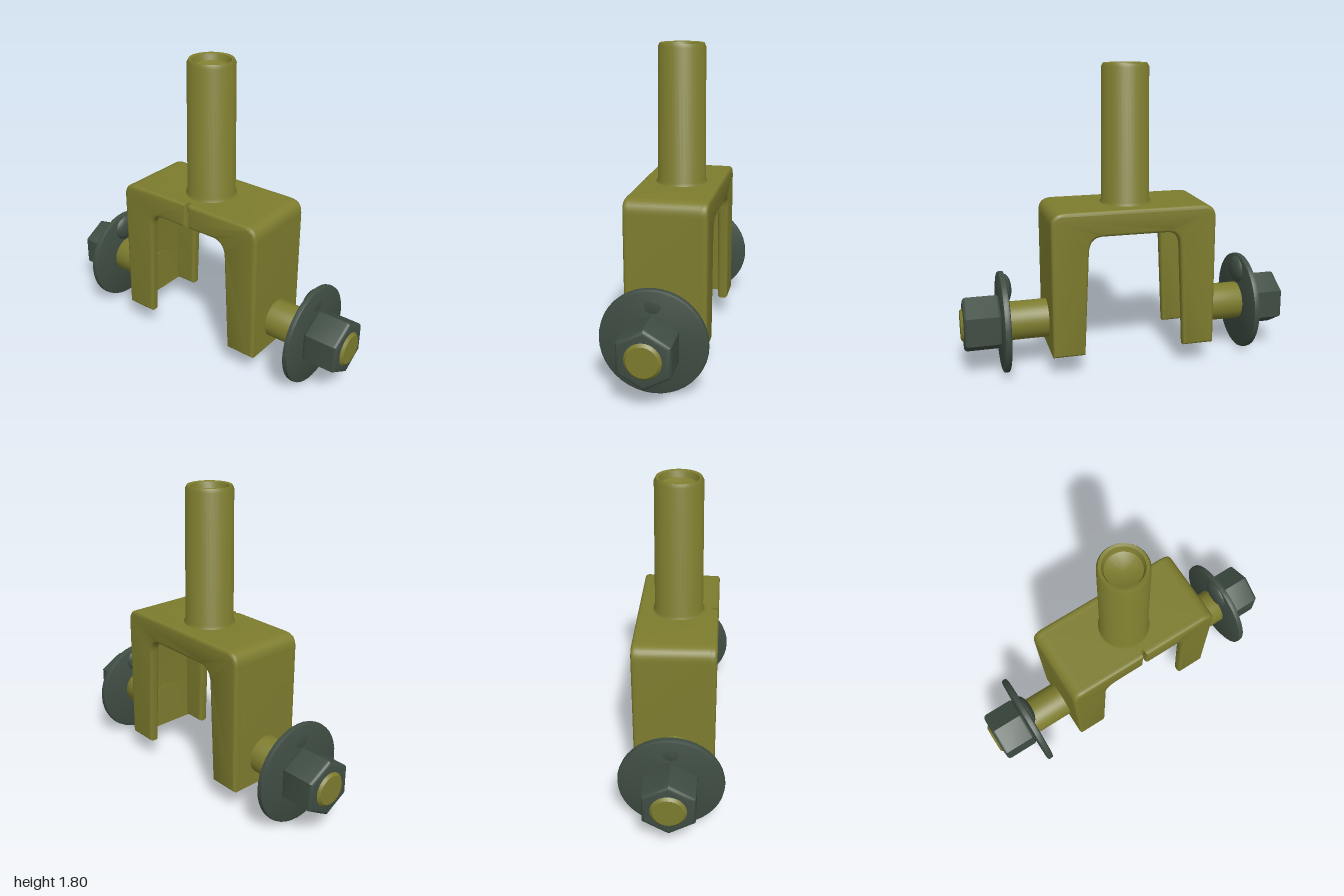
import * as THREE from 'three';
import { toCreasedNormals } from 'three/addons/utils/BufferGeometryUtils.js';

const olive = new THREE.MeshStandardMaterial({ color: 0x7d7c2e });
olive.name = 'olive paint';
const steel = new THREE.MeshStandardMaterial({ color: 0x3f4d43 });
steel.name = 'dark steel';

const part = (name, geometry, material) => {
  const mesh = new THREE.Mesh(geometry, material);
  mesh.name = name;
  return mesh;
};

// Extrusion between two z values with rounded edges kept inside the outline
function roundedPlate(shape, z0, z1, bevel) {
  const geo = new THREE.ExtrudeGeometry(shape, {
    depth: z1 - z0 - 2 * bevel, bevelEnabled: bevel > 0, bevelSize: bevel,
    bevelThickness: bevel, bevelOffset: -bevel, bevelSegments: 4, curveSegments: 8,
  });
  geo.translate(0, 0, z0 + bevel);
  return toCreasedNormals(geo, 0.6);
}

// Outline of the +x half of the fork, from the centre line out and back.
// leg: inner x at the foot, knee: inner x near the top, roof: underside height
function halfOutline(gap, leg, knee, roof, radius) {
  const s = new THREE.Shape();
  s.moveTo(gap, 1);
  s.lineTo(0.41, 1);
  s.quadraticCurveTo(0.49, 1, 0.49, 0.92);
  s.lineTo(0.49, 0.14);
  s.lineTo(leg, 0.14);
  s.lineTo(knee, roof - radius);
  s.quadraticCurveTo(knee - 0.01, roof, knee - radius, roof);
  s.lineTo(gap, roof);
  return s.getPoints(8);
}
const mirrored = (pts) => pts.map((p) => new THREE.Vector2(-p.x, p.y)).reverse();
const fullOutline = (half) => {
  const inner = half.slice(1, -1);
  const left = mirrored(half).slice(1, -1);
  return new THREE.Shape([...inner, half[half.length - 1], ...left, half[0]]);
};

// Lathe profile of [radius, height] pairs
function turned(profile) {
  const geo = new THREE.LatheGeometry(profile.map((p) => new THREE.Vector2(...p)), 40);
  return toCreasedNormals(geo.toNonIndexed(), 0.6);
}
const alongX = (geo) => geo.rotateZ(-Math.PI / 2);

// Fork: a bent channel, open on the inside
function createFork() {
  const fork = new THREE.Group();
  fork.name = 'fork';
  const flange = [0.30, 0.272, 0.85, 0.08];
  const web = halfOutline(0, 0.435, 0.435, 0.94, 0.05);
  fork.add(part('channelWeb', roundedPlate(fullOutline(web), -0.198, 0.198, 0), olive));
  fork.add(part('backFlange', roundedPlate(fullOutline(halfOutline(0, ...flange)), -0.24, -0.175, 0.02), olive));

  // Front flange is split by a narrow slot
  const half = halfOutline(0.01, ...flange);
  fork.add(part('frontFlangeLeft', roundedPlate(new THREE.Shape(half), 0.175, 0.237, 0.02), olive));
  fork.add(part('frontFlangeRight', roundedPlate(new THREE.Shape(mirrored(half)), 0.175, 0.237, 0.02), olive));
  return fork;
}

// Axle stub with washer and nut, pointing to +x
function createAxle(name) {
  const axle = new THREE.Group();
  axle.name = name;
  axle.position.y = 0.31;
  axle.add(part('axleBolt', alongX(turned([
    [0, 0.43], [0.115, 0.43], [0.115, 0.74], [0.1, 0.77], [0.1, 0.985], [0.085, 1], [0, 1],
  ])), olive));
  axle.add(part('washer', alongX(turned([
    [0, 0.73], [0.285, 0.73], [0.297, 0.735], [0.3, 0.75], [0.297, 0.765], [0.285, 0.77], [0, 0.77],
  ])), steel));

  const corners = Array.from({ length: 6 }, (_, i) => {
    const a = Math.PI / 2 + (i * Math.PI) / 3;
    return new THREE.Vector2(0.168 * Math.cos(a), 0.168 * Math.sin(a));
  });
  const nut = roundedPlate(new THREE.Shape(corners), 0.768, 0.985, 0.022);
  axle.add(part('nut', nut.rotateY(Math.PI / 2), steel));

  // Bulge on the inner face of the washer
  const bulge = part('washerBulge', new THREE.SphereGeometry(1, 20, 14), steel);
  bulge.scale.set(0.04, 0.085, 0.1);
  bulge.position.set(0.735, 0.205, 0);
  axle.add(bulge);
  return axle;
}

export function createModel() {
  const model = new THREE.Group();
  model.name = 'forkBracket';
  model.add(createFork());

  // Stem with a weld at its foot and a shallow cup in its top
  model.add(part('stem', turned([
    [0, 0.88], [0.14, 0.88], [0.14, 0.99], [0.155, 0.995], [0.143, 1.02], [0.138, 1.79],
    [0.128, 1.81], [0.112, 1.805], [0.1, 1.77], [0.06, 1.75], [0, 1.745],
  ]), olive));

  const left = createAxle('leftAxle');
  const right = createAxle('rightAxle');
  right.rotation.y = Math.PI;
  model.add(left, right);
  return model;
}
